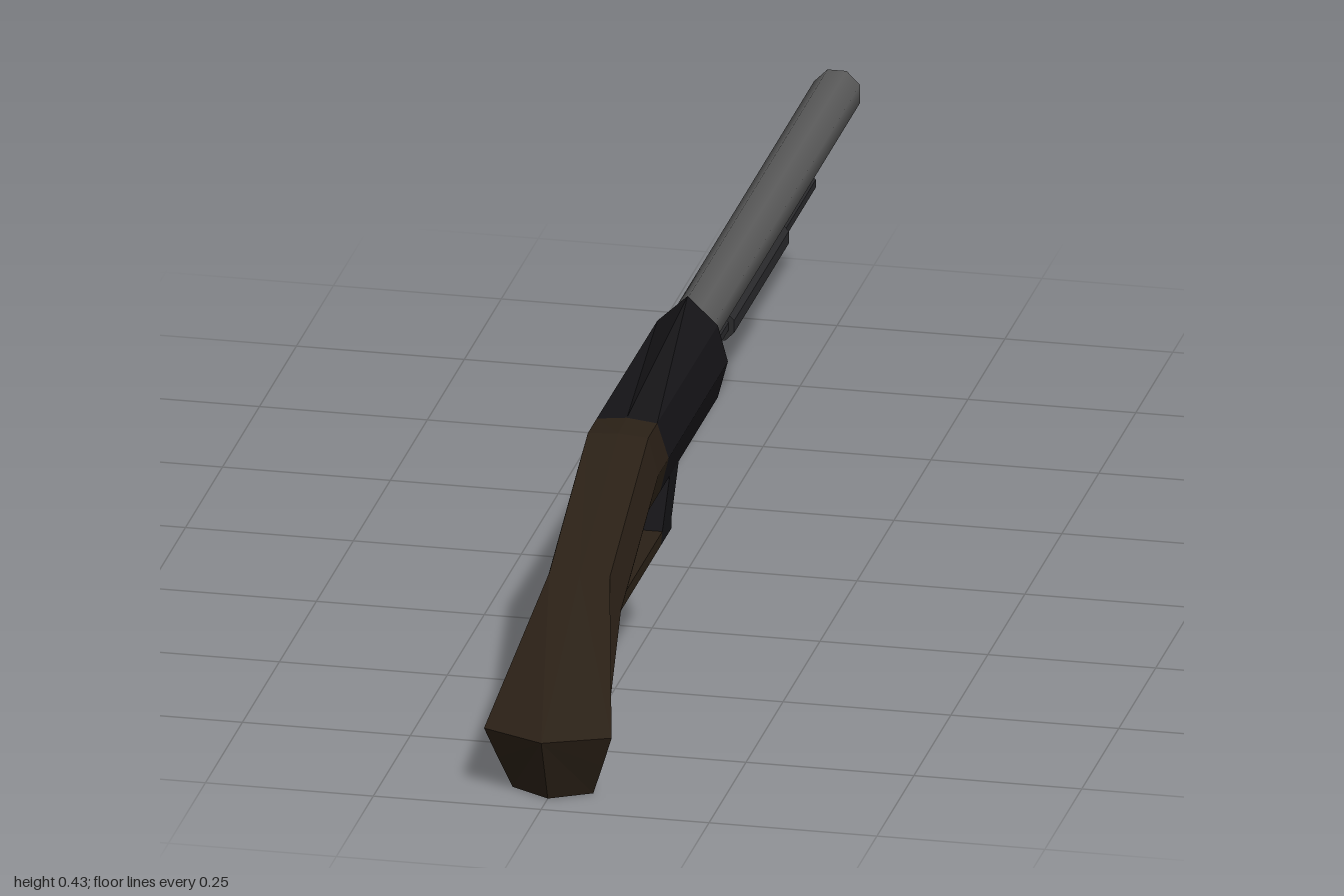
import * as THREE from 'three';

const material = (color) => new THREE.MeshStandardMaterial({ color, flatShading: true });

// Lofts half sections (top centre to bottom centre, +x side) that are mirrored into closed rings.
function loft(halves) {
  const rings = halves.map((h) => [...h, ...h.slice(1, -1).reverse().map(([x, y, z]) => [-x, y, z])]);
  const n = rings[0].length;
  const pos = [];
  const tri = (a, b, c) => pos.push(...a, ...b, ...c);
  for (let s = 0; s < rings.length - 1; s++) {
    const a = rings[s], b = rings[s + 1];
    for (let i = 0; i < n; i++) {
      const j = (i + 1) % n;
      tri(a[i], b[i], b[j]);
      tri(a[i], b[j], a[j]);
    }
  }
  const first = rings[0], last = rings[rings.length - 1];
  for (let i = 1; i < n - 1; i++) {
    tri(first[0], first[i], first[i + 1]);
    tri(last[0], last[i + 1], last[i]);
  }
  const g = new THREE.BufferGeometry();
  g.setAttribute('position', new THREE.Float32BufferAttribute(pos, 3));
  g.computeVertexNormals();
  return g;
}

// Half section of the body: ridge, shoulder, widest point, lower edge, underside.
const section = (zTop, zBottom, ridge, shoulder, mid, bottom) => [
  [0, ridge, zTop],
  [0.045, shoulder, zTop],
  [0.06, mid, (zTop + zBottom) / 2],
  [0.045, bottom, zBottom],
  [0, bottom, zBottom],
];

// Extrudes a side profile of [z, y] points across x.
function sideProfile(points, width) {
  const shape = new THREE.Shape(points.map(([z, y]) => new THREE.Vector2(z, y)));
  const g = new THREE.ExtrudeGeometry(shape, { depth: width, bevelEnabled: false });
  return g.translate(0, 0, -width / 2).rotateY(-Math.PI / 2);
}

// Tube along z between two depths.
function tube(radius, z0, z1, y, sides) {
  const g = new THREE.CylinderGeometry(radius, radius, Math.abs(z1 - z0), sides);
  return g.rotateY(Math.PI / sides).rotateX(Math.PI / 2).translate(0, y, (z0 + z1) / 2);
}

export function createModel() {
  const group = new THREE.Group();
  const wood = material(0x2a2016);
  const darkSteel = material(0x151417);
  const steel = material(0x5a5a5a);
  steel.flatShading = false;
  const tubeSteel = material(0x2a2a2c);

  const add = (name, geometry, mat) => {
    const mesh = new THREE.Mesh(geometry, mat);
    mesh.name = name;
    group.add(mesh);
  };

  // Receiver, rising to a peaked front
  const joint = section(0.42, 0.4, 0.392, 0.387, 0.33, 0.273);
  add('receiver', loft([section(0.01, 0.01, 0.427, 0.385, 0.33, 0.273), joint]), darkSteel);

  // Stock, bending down to the flared butt
  add('stock', loft([
    joint,
    section(0.48, 0.48, 0.39, 0.387, 0.33, 0.273),
    section(0.74, 0.725, 0.268, 0.268, 0.215, 0.158),
    [[0, 0.103, 1], [0.095, 0.102, 0.955], [0.078, 0.051, 0.938], [0.06, 0, 0.92], [0, 0, 0.955]],
  ]), wood);

  // Trigger guard: flat strip and slanted front post
  add('guardStrip', sideProfile([[0.69, 0.187], [0.69, 0.205], [0.385, 0.205], [0.395, 0.187]], 0.09), wood);
  add('guardPost', sideProfile([[0.395, 0.187], [0.385, 0.205], [0.33, 0.28], [0.27, 0.28], [0.322, 0.205], [0.322, 0.187]], 0.09), darkSteel);

  // Barrel, magazine tube and pump grip
  add('barrel', tube(0.037, 0.02, -1, 0.364, 8), steel);
  add('magazineTube', tube(0.016, 0.02, -0.79, 0.302, 8), tubeSteel);
  add('pumpGrip', tube(0.025, -0.2, -0.57, 0.302, 8), tubeSteel);

  return group;
}
